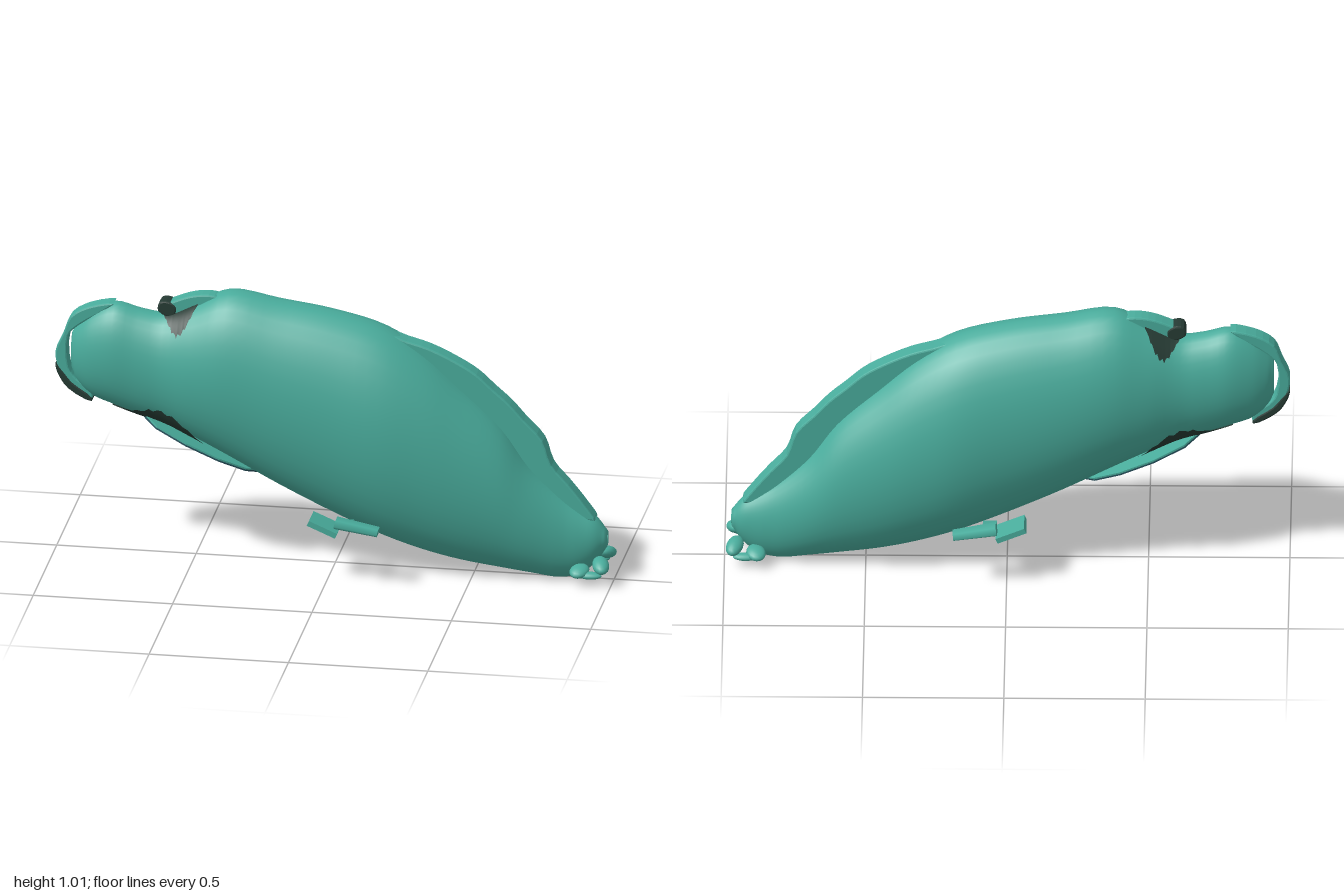
import * as THREE from 'three';

const V3 = (x, y, z) => new THREE.Vector3(x, y, z);

// body stations: x, top y, bottom y, half width
const STATIONS = [
  [-0.943, 0.82, 0.68, 0.035], [-0.92, 0.85, 0.63, 0.055], [-0.87, 0.9, 0.585, 0.08], [-0.79, 0.94, 0.555, 0.1],
  [-0.7, 0.92, 0.525, 0.105], [-0.61, 0.91, 0.5, 0.115], [-0.5, 0.955, 0.45, 0.145], [-0.38, 1.01, 0.39, 0.17],
  [-0.2, 0.985, 0.295, 0.185], [0, 0.955, 0.2, 0.197], [0.18, 0.905, 0.125, 0.206], [0.32, 0.82, 0.08, 0.194],
  [0.45, 0.705, 0.05, 0.174], [0.6, 0.565, 0.028, 0.144], [0.7, 0.425, 0.015, 0.118], [0.81, 0.32, 0.003, 0.088],
  [0.88, 0.27, 0.02, 0.07], [0.935, 0.235, 0.065, 0.052], [0.975, 0.185, 0.125, 0.028],
];
const LAST = STATIONS.length - 1;
const outline = new THREE.CatmullRomCurve3(STATIONS.map(s => V3(s[0], s[1], s[2])));
const widths = new THREE.SplineCurve(STATIONS.map(s => new THREE.Vector2(s[0], s[3])));

// point on the body skin; t runs tail to head, a is the angle from the top
function skin(t, a, scale = 1) {
  const p = outline.getPoint(t), w = widths.getPoint(t).y;
  const mid = (p.y + p.z) / 2, half = (p.y - p.z) / 2;
  return [p.x, mid + half * scale * Math.cos(a), w * scale * Math.sin(a)];
}

// grid surface from a point rule; wraps round when closed
function grid(rows, cols, rule, closed) {
  const pos = [], idx = [], n = closed ? cols : cols + 1;
  for (let i = 0; i <= rows; i++) for (let j = 0; j < n; j++) pos.push(...rule(i, j));
  for (let i = 0; i < rows; i++) for (let j = 0; j < cols; j++) {
    const k = closed ? (j + 1) % cols : j + 1;
    const a = i * n + j, b = i * n + k, c = a + n, d = b + n;
    idx.push(a, b, c, b, d, c);
  }
  const g = new THREE.BufferGeometry();
  g.setAttribute('position', new THREE.Float32BufferAttribute(pos, 3));
  g.setIndex(idx);
  g.computeVertexNormals();
  return g;
}

// closed body, its end rings shrunk to points
function bodyGeometry() {
  const rows = 72, cols = 36;
  return grid(rows + 2, cols, (i, j) => {
    const t = THREE.MathUtils.clamp((i - 1) / rows, 0, 1);
    return skin(t, j / cols * Math.PI * 2, i === 0 || i === rows + 2 ? 0.001 : 1);
  }, true);
}

// thin patch lying on the skin, widest where skew puts it
function patchGeometry(s0, s1, centre, spread, skew) {
  const rows = 20, cols = 20;
  return grid(rows, cols, (i, j) => {
    const u = i / rows;
    const reach = spread * (0.3 + 0.7 * Math.sin(Math.PI * u ** skew)) * (1 + 0.06 * Math.sin(i * 2.3));
    return skin((s0 + (s1 - s0) * u) / LAST, centre + (j / cols * 2 - 1) * reach, 1.025);
  }, false);
}

// smooth side outline extruded evenly about z = 0
function ridge(points, halfWidth) {
  const curve = new THREE.CatmullRomCurve3(points.map(p => V3(p[0], p[1], 0)), true);
  const shape = new THREE.Shape(curve.getPoints(points.length * 3).slice(0, -1).map(p => new THREE.Vector2(p.x, p.y)));
  const bevel = 0.006;
  return new THREE.ExtrudeGeometry(shape, {
    depth: 2 * (halfWidth - bevel), bevelEnabled: true, bevelThickness: bevel,
    bevelSize: bevel, bevelOffset: -bevel, bevelSegments: 2,
  }).translate(0, 0, bevel - halfWidth);
}

export function createModel() {
  const teal = new THREE.MeshStandardMaterial({ color: 0x49ac9c });
  teal.name = 'teal skin';
  const dark = new THREE.MeshStandardMaterial({ color: 0x263b34, side: THREE.DoubleSide });
  dark.name = 'dark patch';
  const blue = new THREE.MeshStandardMaterial({ color: 0x27505c });
  blue.name = 'dark blue underside';

  const model = new THREE.Group();
  model.name = 'fish';
  const add = (name, geometry, material = teal, parent = model) => {
    const mesh = new THREE.Mesh(geometry, material);
    mesh.name = name;
    parent.add(mesh);
    return mesh;
  };

  add('body', bodyGeometry());

  // long fin over the sloping back
  add('backFin', ridge([
    [0.2, 0.885], [0.26, 0.868], [0.34, 0.845], [0.44, 0.799], [0.51, 0.757], [0.57, 0.703], [0.63, 0.65],
    [0.68, 0.594], [0.748, 0.52], [0.78, 0.43], [0.84, 0.36], [0.905, 0.278], [0.935, 0.23],
    [0.81, 0.27], [0.7, 0.36], [0.6, 0.5], [0.44, 0.65], [0.3, 0.78],
  ], 0.033));

  // curved rim round the tail, leaving a narrow slot before the body
  add('tailFin', ridge([
    [-0.79, 0.943], [-0.88, 0.925], [-0.945, 0.885], [-0.972, 0.82], [-1, 0.75], [-0.988, 0.68], [-0.95, 0.62],
    [-0.87, 0.575], [-0.87, 0.61], [-0.925, 0.65], [-0.952, 0.69], [-0.954, 0.81], [-0.92, 0.85], [-0.83, 0.91],
  ], 0.031));

  // dark lower edge of the tail rim
  add('tailFinEdge', ridge([
    [-1, 0.705], [-0.993, 0.67], [-0.955, 0.612], [-0.87, 0.568], [-0.87, 0.584], [-0.94, 0.636], [-0.972, 0.675],
  ], 0.034), dark);

  // small fin lying back above the tail, with a dark rear end
  add('smallBackFin', ridge([
    [-0.61, 0.945], [-0.57, 0.968], [-0.5, 0.992], [-0.43, 0.995], [-0.4, 0.98], [-0.5, 0.94], [-0.6, 0.9],
  ], 0.03));
  add('smallBackFinEnd', ridge([
    [-0.632, 0.925], [-0.625, 0.96], [-0.59, 0.962], [-0.565, 0.94], [-0.58, 0.905],
  ], 0.033), dark);

  // dark patches on back and belly
  add('backPatch', patchGeometry(5, 6.1, 0, 0.82, 1), dark);
  add('bellyPatch', patchGeometry(2.9, 6.4, Math.PI, 0.85, 1.4), dark);

  // broad belly fin: teal above, dark blue below
  const half = [[-0.23, 0.03], [-0.17, 0.085], [-0.05, 0.11], [0.08, 0.105], [0.18, 0.075], [0.23, 0.025]];
  const plan = new THREE.Shape([...half, ...half.map(([u, z]) => [u, -z]).reverse()].map(p => new THREE.Vector2(...p)));
  const bellyFin = new THREE.Group();
  bellyFin.name = 'bellyFin';
  bellyFin.position.set(-0.475, 0.43, 0);
  bellyFin.rotation.z = -0.42;
  model.add(bellyFin);
  for (const [name, y, material] of [['bellyFinTop', 0.006, teal], ['bellyFinUnderside', 0, blue]]) {
    const plate = new THREE.ExtrudeGeometry(plan, { depth: 0.006, bevelEnabled: false });
    add(name, plate.rotateX(-Math.PI / 2), material, bellyFin).position.y = y;
  }

  // snout opening
  const mouth = add('mouth', new THREE.TorusGeometry(0.011, 0.003, 8, 20));
  mouth.rotation.y = Math.PI / 2;
  mouth.scale.set(0.7, 1.3, 1);
  mouth.position.set(0.975, 0.15, 0);

  // mirrored side fins and snout petals
  for (const side of [1, -1]) {
    const label = side > 0 ? 'front' : 'back';
    const parts = new THREE.Group();
    parts.name = label + 'SideParts';
    model.add(parts);

    const stem = add(label + 'FinStem', new THREE.BoxGeometry(0.11, 0.02, 0.1), teal, parts);
    stem.position.set(-0.015, 0.2, side * 0.15);
    stem.rotation.z = -0.4;

    const brace = add(label + 'FinBrace', new THREE.BoxGeometry(0.05, 0.022, 0.1), teal, parts);
    brace.position.set(0.06, 0.212, side * 0.16);
    brace.rotation.x = side * -0.25;

    const blade = add(label + 'FinBlade', new THREE.CylinderGeometry(0.044, 0.036, 0.155, 6), teal, parts);
    blade.geometry.rotateZ(Math.PI / 2).scale(1, 0.42, 1);
    blade.position.set(0.112, 0.221, side * 0.208);
    blade.rotation.z = -0.17;

    // each petal: x, y, z, then radii, then yaw
    const petals = [
      [0.888, 0.056, 0.078, 0.034, 0.018, 0.04, 0.4],
      [0.963, 0.078, 0.068, 0.03, 0.022, 0.048, -0.3],
      [0.925, 0.045, 0.088, 0.045, 0.012, 0.018, 0],
    ];
    for (const [x, y, z, rx, ry, rz, yaw] of petals) {
      const petal = add(label + 'SnoutPetal', new THREE.SphereGeometry(1, 16, 10), teal, parts);
      petal.position.set(x, y, side * z);
      petal.scale.set(rx, ry, rz);
      petal.rotation.set(side * 0.3, side * -yaw, 0);
    }
  }
  return model;
}
